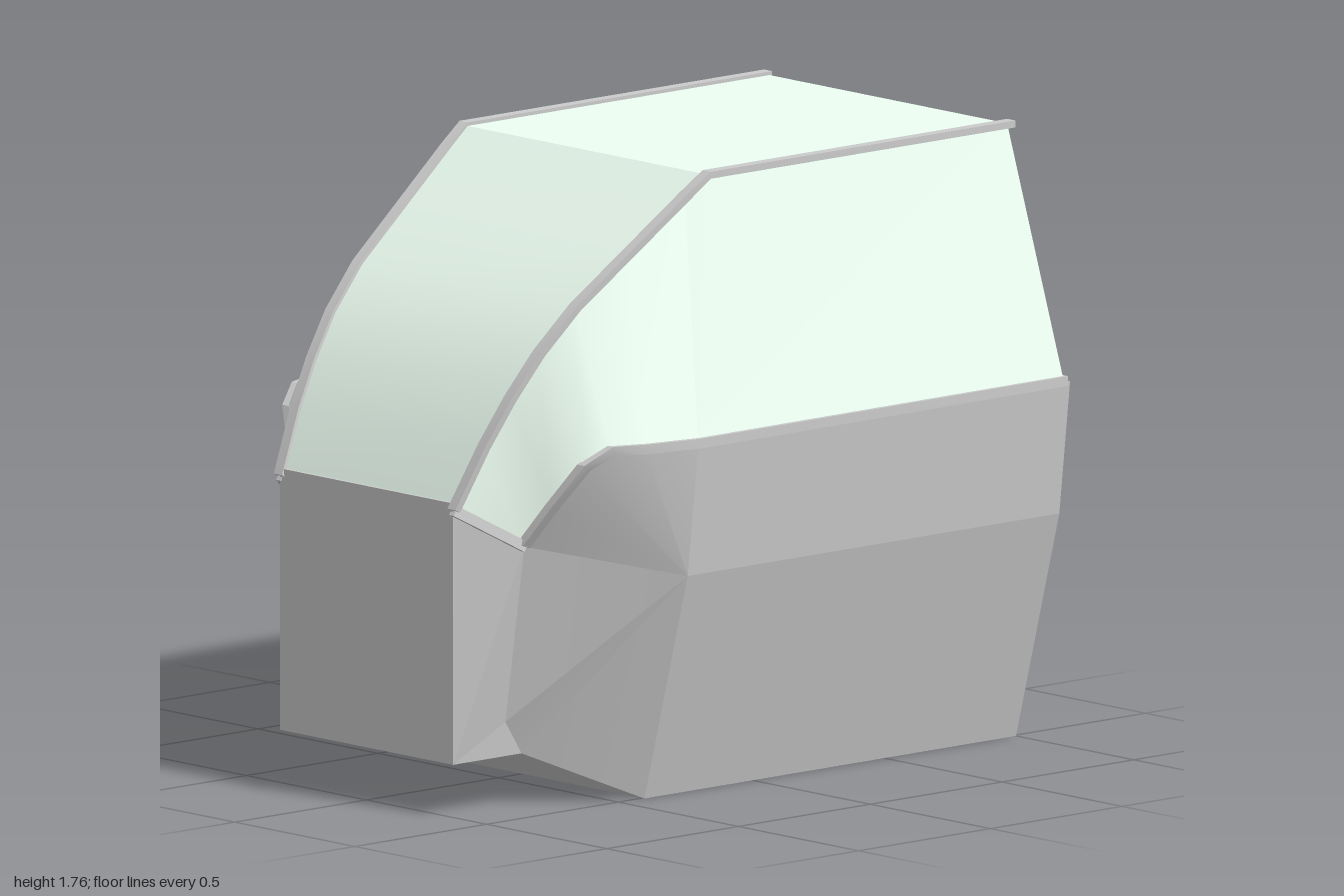
import * as THREE from 'three';
import { toCreasedNormals } from 'three/addons/utils/BufferGeometryUtils.js';

const V = (x, y, z) => new THREE.Vector3(x, y, z);
const grey = new THREE.MeshStandardMaterial({ color: 0xcccccc, side: THREE.DoubleSide });
const glass = new THREE.MeshStandardMaterial({ color: 0xeefff3, side: THREE.DoubleSide });

// Skin a list of equal-length rows of points; optionally close each row and cap both ends.
function loft(rows, { closed = false, crease = 0.5 } = {}) {
  const pos = [];
  const tri = (a, b, c) => {
    const area = b.clone().sub(a).cross(c.clone().sub(a)).length();
    if (area > 1e-7) for (const p of [a, b, c]) pos.push(p.x, p.y, p.z);
  };
  const n = rows[0].length;
  for (let i = 0; i + 1 < rows.length; i++) {
    for (let j = 0; j < (closed ? n : n - 1); j++) {
      const k = (j + 1) % n;
      tri(rows[i][j], rows[i + 1][j], rows[i + 1][k]);
      tri(rows[i][j], rows[i + 1][k], rows[i][k]);
    }
  }
  if (closed) {
    const last = rows[rows.length - 1];
    for (let j = 1; j + 1 < n; j++) {
      tri(rows[0][0], rows[0][j], rows[0][j + 1]);
      tri(last[0], last[j + 1], last[j]);
    }
  }
  const g = new THREE.BufferGeometry();
  g.setAttribute('position', new THREE.Float32BufferAttribute(pos, 3));
  return toCreasedNormals(g, crease);
}

// Rectangular bar swept along a path, w wide along `side` and h thick across it.
function bar(path, w, h, side = V(1, 0, 0)) {
  const rows = path.map((p, i) => {
    const t = path[Math.min(i + 1, path.length - 1)].clone().sub(path[Math.max(i - 1, 0)]).normalize();
    const n = t.cross(side).normalize();
    return [[1, 1], [-1, 1], [-1, -1], [1, -1]].map(([a, b]) =>
      p.clone().addScaledVector(side, a * w / 2).addScaledVector(n, b * h / 2));
  });
  return loft(rows, { closed: true });
}

const mirrorX = (pts, s) => pts.map(p => V(p.x * s, p.y, p.z));

export function createModel() {
  const model = new THREE.Group();
  const add = (name, geometry, material = grey, parent = model) => {
    const m = new THREE.Mesh(geometry, material);
    m.name = name;
    parent.add(m);
    return m;
  };

  // Key lines, given for the +x side
  const keel = [V(0.51, 0, -1), V(0.51, 0, 0.41), V(0.36, 0.15, 0.74), V(0.36, 0.15, 1)];
  const rimCurve = [V(0.735, 1.045, 0.41), V(0.7, 1.045, 0.58), V(0.66, 1.045, 0.67),
    V(0.62, 1.0, 0.735), V(0.54, 0.88, 0.785), V(0.465, 0.765, 0.825)];
  const noseTop = V(0.36, 0.875, 0.998);
  const shin = V(0.37, 0.25, 0.81);
  const waist = [V(0.69, 0.66, -1), V(0.69, 0.66, 0.41)];
  const roofX = y => 0.355 + 0.145 * (y - 0.875) / 0.875;
  const railLine = [[-0.975, 1.75], [0.17, 1.75], [0.24, 1.7], [0.43, 1.56], [0.62, 1.42], [0.74, 1.3],
    [0.83, 1.18], [0.91, 1.05], [0.998, 0.875]].map(([z, y]) => V(roofX(y), y, z));

  // Lower hull: floor, nose and both sides
  const hull = new THREE.Group();
  hull.name = 'hull';
  model.add(hull);
  add('floor', loft([mirrorX(keel, -1), keel], { crease: 0.1 }), grey, hull);
  add('nosePlate', loft([
    [V(-0.36, 0.15, 1), V(0.36, 0.15, 1)], [V(-0.36, 0.875, 1), V(0.36, 0.875, 1)],
  ].reverse()), grey, hull);

  for (const s of [1, -1]) {
    const tag = s > 0 ? 'left' : 'right';
    const skin = (name, a, b, mat, parent, crease = 0.5) => {
      const rows = [mirrorX(a, s), mirrorX(b, s)];
      return add(tag + name, loft(s > 0 ? rows : rows.reverse(), { crease }), mat, parent);
    };
    const fan = (p, pts) => pts.map(() => p);

    skin('LowerSide', waist, keel.slice(0, 2), grey, hull);
    skin('UpperSide', [V(0.735, 1.045, -1), rimCurve[0]], waist, grey, hull);
    skin('Shoulder', rimCurve, fan(waist[1], rimCurve), grey, hull, 0.3);
    const cheek = [rimCurve[5], shin, keel[2], keel[1]];
    skin('Cheek', fan(waist[1], cheek), cheek.slice().reverse(), grey, hull, 0.2);
    skin('NoseSide', [rimCurve[5], noseTop, V(0.36, 0.875, 1)], [shin, keel[3], keel[3]], grey, hull, 0.1);
    skin('NoseFoot', fan(shin, [0, 1]), [keel[2], keel[3]], grey, hull, 0.1);

    // Side glass: flat rear pane and curved front corner
    skin('RearPane', railLine.slice(0, 3), [V(0.735, 1.05, -0.975), rimCurve[0], rimCurve[0]], glass, model, 0.1);
    skin('CornerPane', railLine.slice(2), [...rimCurve, noseTop], glass, model, 0.9);

    // Frame bars along roof edge and hull rim
    const rail = [V(0.5, 1.75, -0.985), ...railLine.slice(1)].map(p => V(p.x + 0.006, p.y, p.z));
    add(tag + 'RoofRail', bar(mirrorX(rail, s), 0.034, 0.02));
    const rim = [V(0.728, 1.047, -0.985), ...rimCurve.map(p => V(p.x - 0.006, p.y, p.z))];
    add(tag + 'RimBar', bar(mirrorX(rim, s), 0.03, 0.028));
    add(tag + 'LowerRim', bar(mirrorX([rimCurve[5], noseTop], s), 0.02, 0.03));
  }

  // Roof and windshield
  add('roofPane', loft([mirrorX(railLine.slice(0, 2), -1), railLine.slice(0, 2)].reverse()), glass);
  add('windshield', loft([mirrorX(railLine.slice(1), -1), railLine.slice(1)].reverse(), { crease: 0.6 }), glass);
  const sill = add('noseSill', new THREE.BoxGeometry(0.72, 0.025, 0.02));
  sill.position.set(0, 0.883, 0.988);

  // Seat on a slab: each backrest section is [y, half width, rear z, front z]
  const seat = new THREE.Group();
  seat.name = 'seat';
  model.add(seat);
  const box = (name, w, h, d, x, y, z) =>
    add(name, new THREE.BoxGeometry(w, h, d), grey, seat).position.set(x, y, z);
  box('seatSlab', 0.76, 0.1, 0.72, 0, 0.2, -0.44);
  box('seatPedestal', 0.5, 0.16, 0.5, 0, 0.31, -0.54);
  box('seatCushion', 0.6, 0.16, 0.6, 0, 0.46, -0.38);
  const back = [[0.33, 0.25, -0.79, -0.55], [0.42, 0.28, -0.81, -0.52], [0.52, 0.36, -0.85, -0.54],
    [0.62, 0.42, -0.87, -0.57], [0.82, 0.425, -0.885, -0.59], [1.04, 0.42, -0.875, -0.59],
    [1.12, 0.4, -0.86, -0.62], [1.17, 0.35, -0.83, -0.66]].map(([y, w, r, f]) => [
    V(-w, y, r), V(-w * 0.6, y, r - 0.02), V(w * 0.6, y, r - 0.02), V(w, y, r),
    V(w, y, f), V(w * 0.65, y, f - 0.06), V(-w * 0.65, y, f - 0.06), V(-w, y, f)]);
  add('backrest', loft(back, { closed: true, crease: 0.7 }), grey, seat);

  return model;
}
